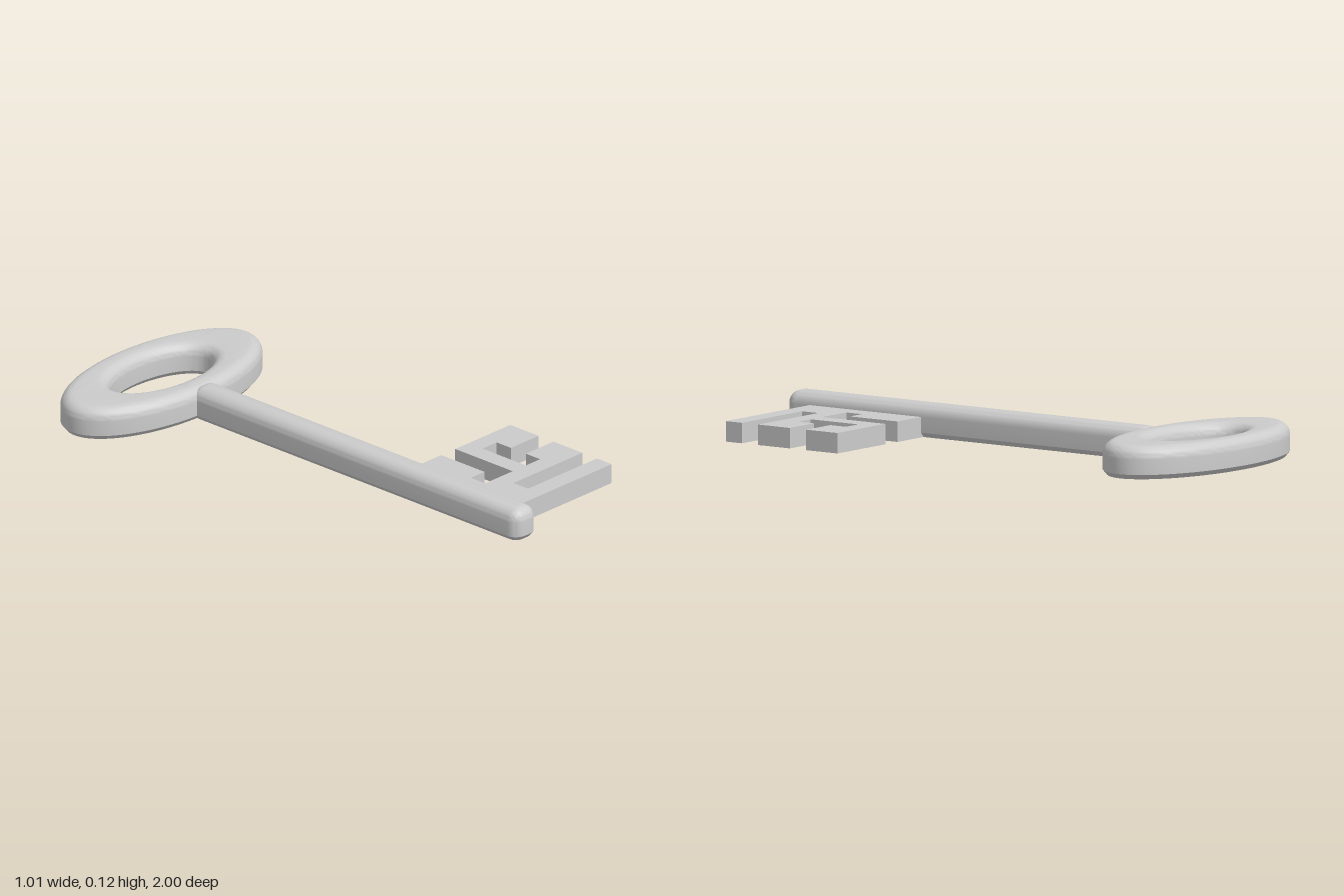
import * as THREE from 'three';
import { toCreasedNormals } from 'three/addons/utils/BufferGeometryUtils.js';

const HEIGHT = 0.117, ROUND = 0.045, CHAMFER = 0.014, AXIS_X = -0.047;
const material = new THREE.MeshStandardMaterial({ color: 0xcccccc });

// Edge profile from bottom to top as [inset, y]: chamfered below, rounded above
const edge = [[CHAMFER, 0], [0, CHAMFER + 0.003]];
for (let i = 0; i <= 8; i++) {
  const a = (i / 8) * Math.PI / 2;
  edge.push([ROUND * (1 - Math.cos(a)), HEIGHT - ROUND + ROUND * Math.sin(a)]);
}

// Skin a list of closed rings, each with the same number of [x, y, z] points
function skin(rings) {
  const n = rings[0].length;
  const index = [];
  for (let i = 0; i < rings.length - 1; i++) {
    for (let j = 0; j < n; j++) {
      const k = (j + 1) % n;
      const a = i * n + j, b = i * n + k, c = (i + 1) * n + k, d = (i + 1) * n + j;
      index.push(a, d, c, a, c, b);
    }
  }
  const geometry = new THREE.BufferGeometry();
  geometry.setAttribute('position', new THREE.Float32BufferAttribute(rings.flat(2), 3));
  geometry.setIndex(index);
  return toCreasedNormals(geometry, 0.5);
}

// Ellipse ring moved outward along its normal by offset
function ellipseRing(rx, rz, offset, y, cz, n = 96) {
  return Array.from({ length: n }, (_, j) => {
    const t = (j / n) * Math.PI * 2, c = Math.cos(t), s = Math.sin(t);
    const len = Math.hypot(c / rx, s / rz);
    return [AXIS_X + rx * c + offset * c / rx / len, y, cz + rz * s + offset * s / rz / len];
  });
}

// Round-cornered rectangle ring around a core rectangle
function roundedRing(hx, hz, r, y, cz, perCorner = 8) {
  const ring = [];
  for (let q = 0; q < 4; q++) {
    const sx = q === 0 || q === 3 ? 1 : -1, sz = q < 2 ? 1 : -1;
    for (let j = 0; j <= perCorner; j++) {
      const t = (q + j / perCorner) * Math.PI / 2;
      ring.push([AXIS_X + sx * hx + r * Math.cos(t), y, cz + sz * hz + r * Math.sin(t)]);
    }
  }
  return ring;
}

// Oval handle with an oval hole
function bowGeometry() {
  const cz = -0.772;
  const outer = edge.map(([inset, y]) => ellipseRing(0.461, 0.228, -inset, y, cz));
  const inner = edge.map(([inset, y]) => ellipseRing(0.235, 0.119, inset, y, cz)).reverse();
  return skin([...outer, ...inner, outer[0]]);
}

// Long shaft with the same edge profile, closed by flat caps
function shaftGeometry() {
  const z0 = -0.59, z1 = 1, cz = (z0 + z1) / 2;
  const hx = 0.058 - ROUND, hz = (z1 - z0) / 2 - ROUND;
  const rings = edge.map(([inset, y]) => roundedRing(hx, hz, ROUND - inset, y, cz));
  const bottom = roundedRing(0, hz, 0, 0, cz);
  const top = roundedRing(0, hz, 0, HEIGHT, cz);
  return skin([bottom, ...rings, top]);
}

// Notched plate, outline given as [x, z]
function bitGeometry() {
  const outline = [
    [-0.04, 0.397], [0.15, 0.397], [0.15, 0.606], [0.08, 0.606], [0.08, 0.675],
    [0.222, 0.675], [0.222, 0.397], [0.505, 0.397], [0.505, 0.534], [0.363, 0.534],
    [0.363, 0.465], [0.29, 0.465], [0.29, 0.675], [0.363, 0.675], [0.363, 0.606],
    [0.505, 0.606], [0.505, 0.746], [0.15, 0.746], [0.15, 0.817], [0.505, 0.817],
    [0.505, 0.888], [-0.04, 0.888],
  ];
  const shape = new THREE.Shape(outline.map(([x, z]) => new THREE.Vector2(x, -z)));
  const geometry = new THREE.ExtrudeGeometry(shape, { depth: 0.073, bevelEnabled: false });
  return geometry.rotateX(-Math.PI / 2);
}

export function createModel() {
  const group = new THREE.Group();
  group.name = 'key';
  const parts = { bow: bowGeometry(), shaft: shaftGeometry(), bit: bitGeometry() };
  for (const [name, geometry] of Object.entries(parts)) {
    const mesh = new THREE.Mesh(geometry, material);
    mesh.name = name;
    group.add(mesh);
  }
  return group;
}
